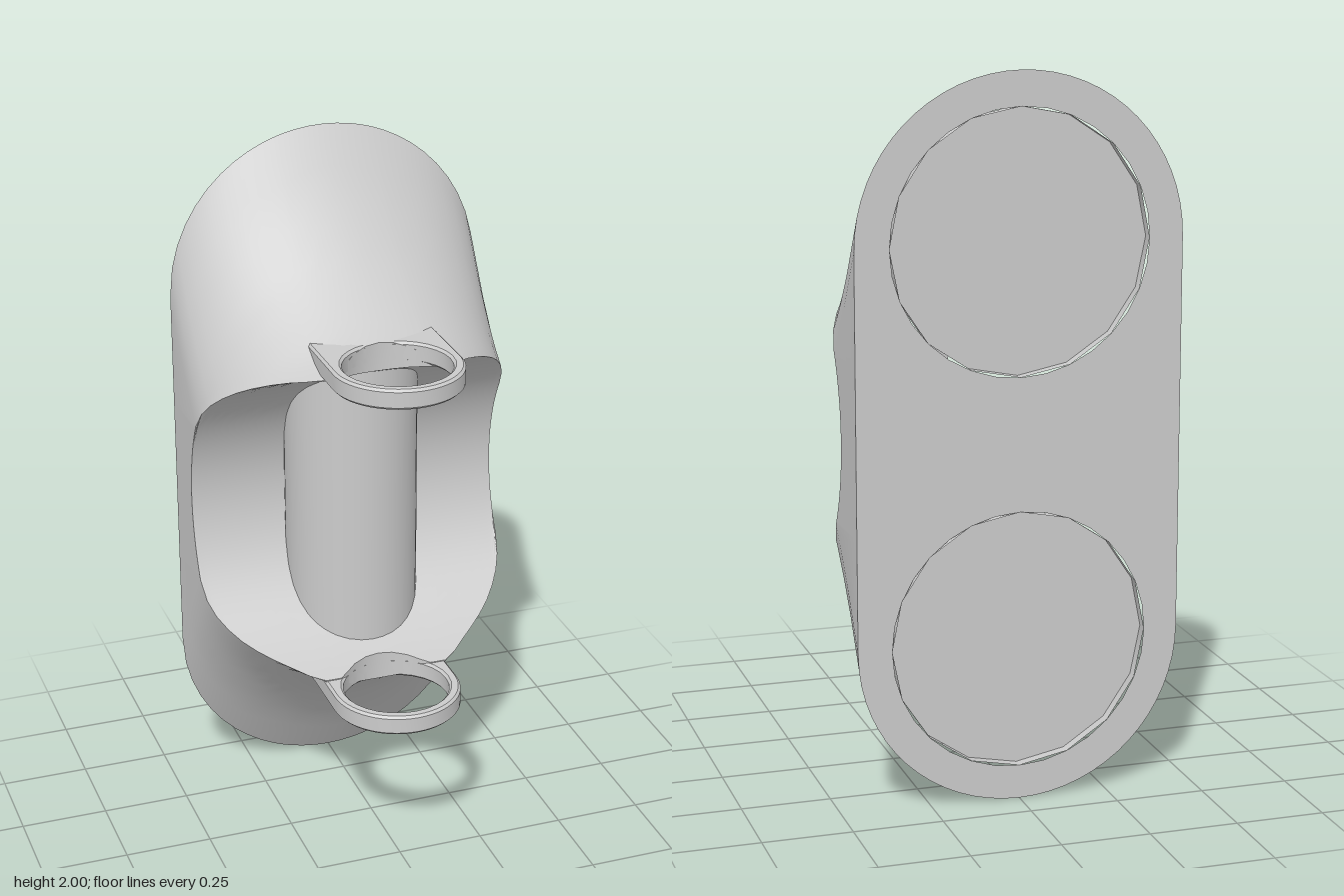
import * as THREE from 'three';
import { toCreasedNormals } from 'three/addons/utils/BufferGeometryUtils.js';

const R = 0.455;            // half width and end radius of the body
const BACK = -0.397;        // plane of the back plate
const SCOOP_R = 0.47, SCOOP_Z = 0.23;
const HOLE_R = 0.15, HOLE_Z = 0.212;

// Flared side profile: [z, half height]
const PROFILE = [[BACK, 1], [-0.29, 0.835], [-0.22, 0.746], [-0.155, 0.675], [-0.075, 0.608],
  [0, 0.555], [0.05, 0.525], [0.13, 0.5]];

function halfHeight(z) {
  let i = 1;
  while (i < PROFILE.length - 1 && z > PROFILE[i][0]) i++;
  const [z0, h0] = PROFILE[i - 1], [z1, h1] = PROFILE[i];
  return h0 + (h1 - h0) * (z - z0) / (z1 - z0);
}
const outerY = (x, z) => halfHeight(z) - R + Math.sqrt(Math.max(0, R * R - x * x));
const scoopY = (z) => Math.sqrt(Math.max(0, SCOOP_R ** 2 - (z - SCOOP_Z) ** 2));

// Front limit of the body at x: where flare meets scoop, or the ring hole
function frontZ(x) {
  let a = -0.3, b = 0.13;
  if (outerY(x, b) < scoopY(b)) {
    for (let k = 0; k < 40; k++) {
      const m = (a + b) / 2;
      if (outerY(x, m) > scoopY(m)) a = m; else b = m;
    }
  }
  const ax = Math.abs(x);
  return ax < HOLE_R ? Math.min(b, HOLE_Z - Math.sqrt(HOLE_R ** 2 - ax * ax)) : b;
}

// One y-z section of the body, from back bottom over the front to back top
function section(x) {
  const zEnd = frontZ(x), n = 14, m = 28, top = [], scoop = [];
  for (let i = 0; i <= n; i++) {
    const z = BACK + (zEnd - BACK) * i / n;
    top.push([outerY(x, z), z]);
  }
  const phi = Math.acos((SCOOP_Z - zEnd) / SCOOP_R);
  for (let i = 0; i <= m; i++) {
    const a = phi * (2 * i / m - 1);
    scoop.push([SCOOP_R * Math.sin(a), SCOOP_Z - SCOOP_R * Math.cos(a)]);
  }
  return [...top.map(([y, z]) => [-y, z]), ...scoop, ...top.reverse()];
}

function bodyGeometry() {
  const half = [0.04, 0.08, 0.11, 0.135, 0.15, 0.18, 0.22, 0.26, 0.3, 0.34, 0.375, 0.405, 0.43, 0.447, R];
  const xs = [...half.map((x) => -x).reverse(), 0, ...half];
  const cols = xs.map((x) => section(x).map(([y, z]) => [x, 1 + y, z]));
  // flat side walls: collapse the end sections onto the back plane
  const collapse = (col) => col.map(([x, y]) => [x, y, BACK]);
  cols.unshift(collapse(cols[0]));
  cols.push(collapse(cols[cols.length - 1]));
  const n = cols[0].length, index = [];
  for (let i = 0; i < cols.length - 1; i++) {
    for (let j = 0; j < n - 1; j++) {
      const a = i * n + j, b = a + n;
      index.push(a, b, b + 1, a, b + 1, a + 1);
    }
  }
  const g = new THREE.BufferGeometry();
  g.setAttribute('position', new THREE.Float32BufferAttribute(cols.flat(2), 3));
  g.setIndex(index);
  return toCreasedNormals(g, 0.6);
}

// Stadium plate with two round openings, facing backwards
function backPlateGeometry(recessR, centres) {
  const s = new THREE.Shape();
  s.absarc(0, centres[1], R, 0, Math.PI, false);
  s.absarc(0, centres[0], R, Math.PI, Math.PI * 2, false);
  for (const y of centres) {
    const hole = new THREE.Path();
    hole.absarc(0, y, recessR, 0, Math.PI * 2, true);
    s.holes.push(hole);
  }
  return new THREE.ShapeGeometry(s, 16).rotateY(Math.PI).translate(0, 0, BACK);
}

// Arm with a round ring at its end, lying flat
function ringGeometry() {
  const w = 0.182, s = new THREE.Shape();
  s.moveTo(-w, -0.05);
  s.lineTo(0, 0.0);
  s.lineTo(w, -0.05);
  s.lineTo(w, HOLE_Z);
  s.absarc(0, HOLE_Z, w, 0, Math.PI, false);
  s.closePath();
  const hole = new THREE.Path();
  hole.absarc(0, HOLE_Z, HOLE_R, 0, Math.PI * 2, true);
  s.holes.push(hole);
  const bevel = 0.007;
  const g = new THREE.ExtrudeGeometry(s, {
    depth: 0.058 - 2 * bevel, curveSegments: 14, bevelEnabled: true,
    bevelSize: bevel, bevelOffset: -bevel, bevelThickness: bevel, bevelSegments: 1,
  });
  g.rotateX(Math.PI / 2).translate(0, 0.029 - bevel, 0);
  return toCreasedNormals(g, 0.5);
}

export function createModel() {
  const group = new THREE.Group();
  const grey = new THREE.MeshStandardMaterial({ color: 0xcccccc });
  const doubleGrey = new THREE.MeshStandardMaterial({ color: 0xcccccc, side: THREE.DoubleSide });
  const add = (name, geometry, material = grey) => {
    const mesh = new THREE.Mesh(geometry, material);
    mesh.name = name;
    group.add(mesh);
    return mesh;
  };

  add('flaredBody', bodyGeometry());

  // back plate with two shallow round recesses
  const recessR = 0.36, depth = 0.03, centres = [R, 2 - R];
  add('backPlate', backPlateGeometry(recessR, centres));
  for (const y of centres) {
    const wall = new THREE.CylinderGeometry(recessR, recessR, depth, 16, 1, true);
    add('recessWall', wall.rotateX(Math.PI / 2), doubleGrey).position.set(0, y, BACK + depth / 2);
    const floor = new THREE.CircleGeometry(recessR, 16).rotateY(Math.PI);
    add('recessFloor', floor).position.set(0, y, BACK + depth);
  }

  // rounded post across the scoop
  const post = new THREE.CylinderGeometry(0.19, 0.19, 0.88, 24, 1, true, -2.1, 4.2);
  add('centrePost', post).position.set(0, 1, -0.175);

  // upper and lower rings
  add('upperRing', ringGeometry()).position.y = 1.491;
  add('lowerRing', ringGeometry()).position.y = 0.509;

  return group;
}
